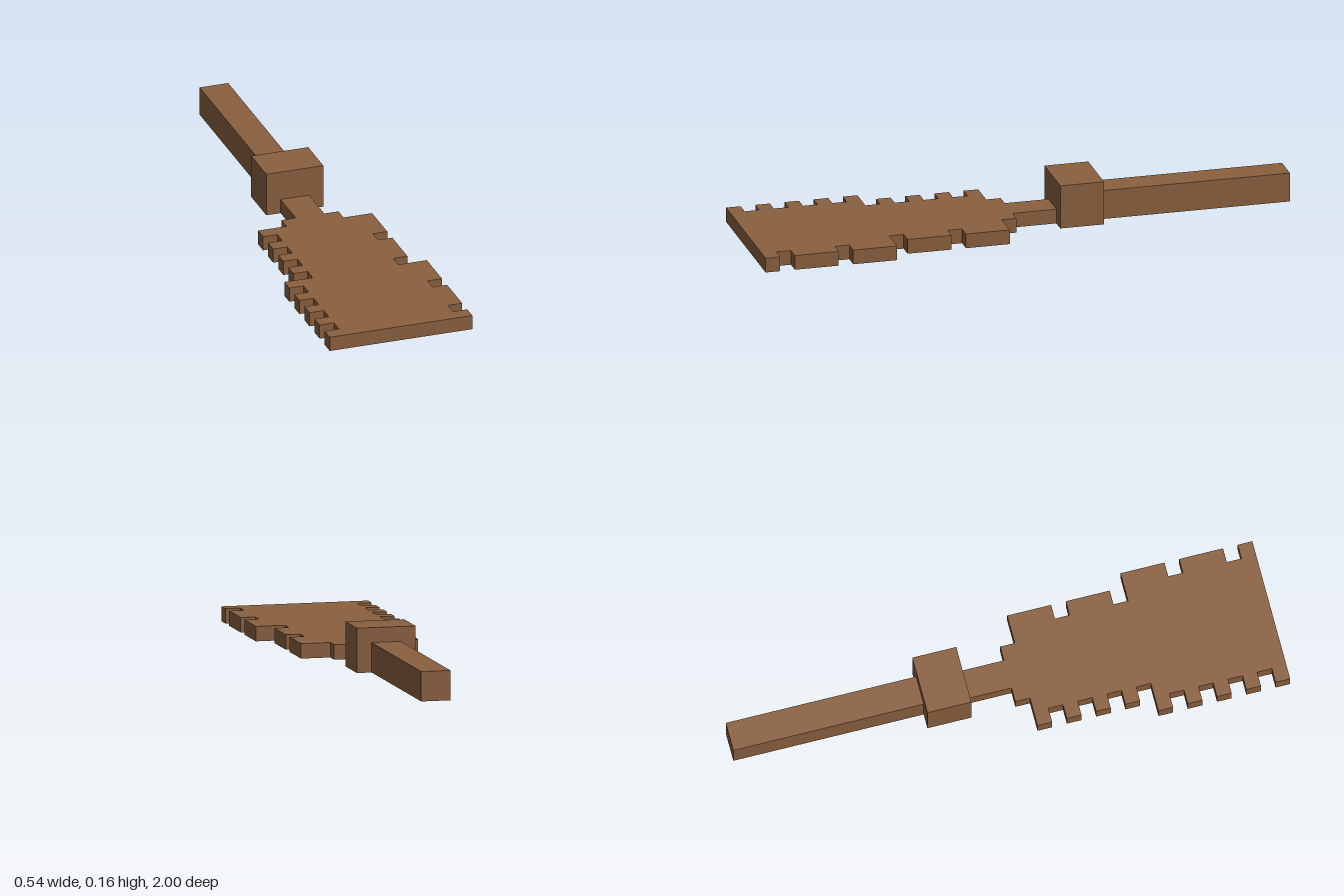
import * as THREE from 'three';

const U = 2 / 37; // one grid cell: the whole model is 37 cells long

export function createModel() {
  const group = new THREE.Group();
  const wood = new THREE.MeshStandardMaterial({ color: 0x8b603f });
  wood.name = 'brown wood';

  // Box spanning cells z0..z1 along the length, standing on y = 0
  const addBox = (name, halfWidth, height, z0, z1) => {
    const mesh = new THREE.Mesh(
      new THREE.BoxGeometry(2 * halfWidth * U, height * U, (z1 - z0) * U), wood);
    mesh.position.set(0, height * U / 2, (z0 + z1) / 2 * U - 1);
    mesh.name = name;
    group.add(mesh);
  };
  addBox('handle', 1, 2, 0, 13);
  addBox('guard', 2, 3, 13, 16);

  // Blade edge as [z start, half width] steps; a notch cuts one cell inwards
  const edge = (notches) => {
    const steps = [[16, 1], [19, 2]];
    for (let z = 20; z < 37; z++) {
      steps.push([z, (z < 28 ? 4 : 5) - (notches.includes(z) ? 1 : 0)]);
    }
    const points = [];
    steps.forEach(([z, w], i) => {
      const end = i + 1 < steps.length ? steps[i + 1][0] : 37;
      if (i > 0 && steps[i - 1][1] === w) points.pop();
      else points.push([w, z]);
      points.push([w, end]);
    });
    return points;
  };

  // Flat blade with its neck: fine teeth on the right, wide teeth on the left
  const leftEdge = edge([23, 27, 31, 35]);
  const rightEdge = edge([21, 23, 25, 27, 29, 31, 33, 35]).map(([w, z]) => [-w, z]);
  const outline = [...leftEdge, ...rightEdge.reverse()]
    .map(([x, z]) => new THREE.Vector2(x * U, 1 - z * U));
  const geometry = new THREE.ExtrudeGeometry(new THREE.Shape(outline),
    { depth: U, bevelEnabled: false });
  geometry.rotateX(-Math.PI / 2);
  const blade = new THREE.Mesh(geometry, wood);
  blade.name = 'serratedBlade';
  group.add(blade);

  return group;
}
